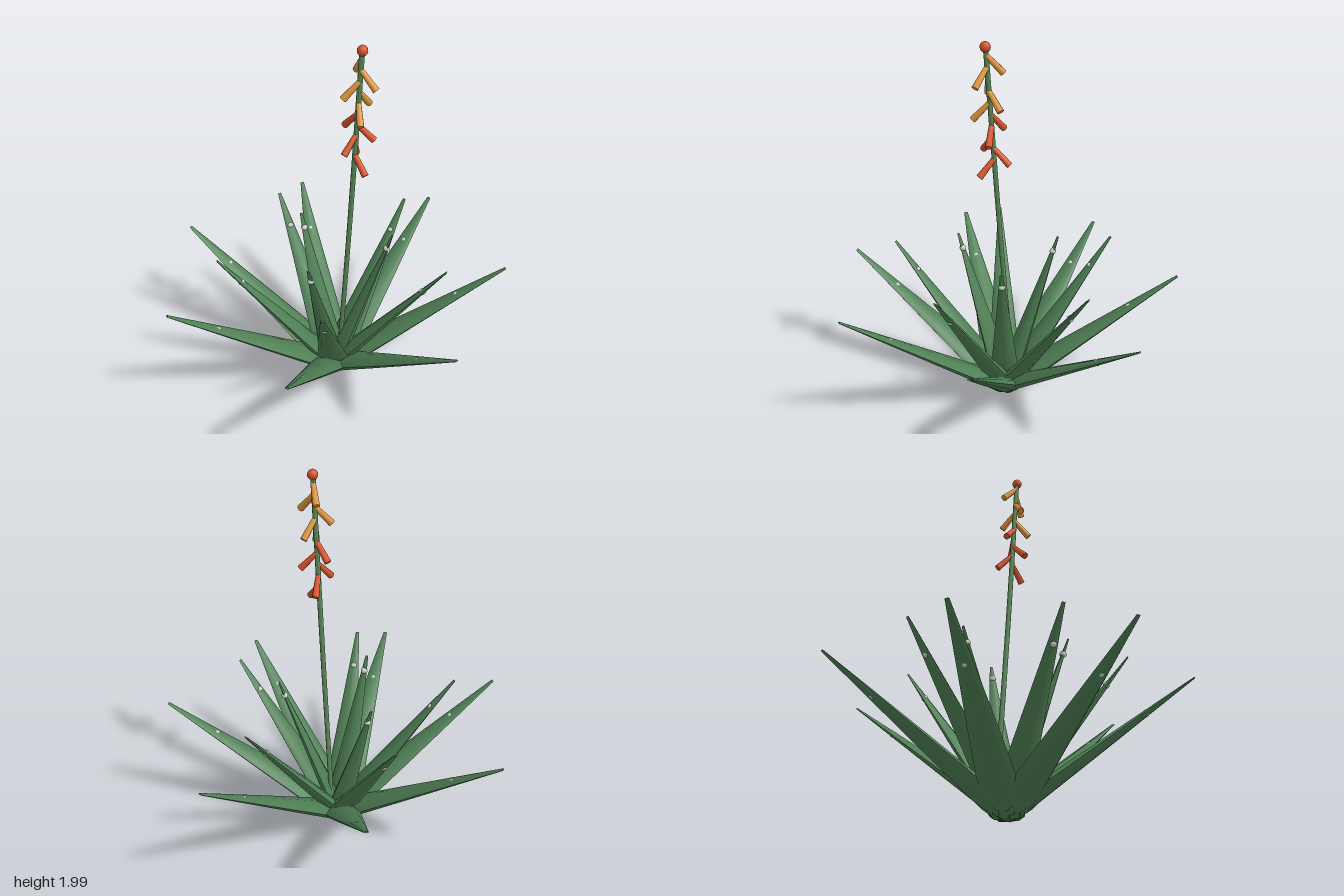
import * as THREE from 'three';
import { toCreasedNormals } from 'three/addons/utils/BufferGeometryUtils.js';

const UP = new THREE.Vector3(0, 1, 0);

function material(name, color) {
  const m = new THREE.MeshStandardMaterial({ color });
  m.name = name;
  return m;
}

// Flattened blade growing along +y: narrow root, widest low down, long taper to a blunt tip
function bladeGeometry(length, width) {
  const rings = [[0, 0.8], [0.1, 1], [0.45 * length, 0.66], [length, 0.1]];
  const geo = new THREE.CylinderGeometry(1, 1, 3, 8, 3);
  const p = geo.attributes.position;
  for (let i = 0; i < p.count; i++) {
    const [y, w] = rings[Math.round(p.getY(i) + 1.5)];
    p.setXYZ(i, p.getX(i) * w * width, y, p.getZ(i) * w * 0.04);
  }
  return toCreasedNormals(geo, 0.8);
}

export function createModel() {
  const model = new THREE.Group();
  model.name = 'succulentPlant';
  const leafGreen = material('leafGreen', 0x4f8055);
  const stalkGreen = material('stalkGreen', 0x5a8a58);
  const redOrange = material('redOrange', 0xd9552b);
  const amber = material('amber', 0xe0963a);
  const paleSpot = material('paleSpot', 0xc8d5c4);

  const add = (parent, name, geo, mat) => {
    const mesh = new THREE.Mesh(geo, mat);
    mesh.name = name;
    parent.add(mesh);
    return mesh;
  };

  // Three rings of leaves: count, first angle, tip reach, tip height, half width
  const rosette = new THREE.Group();
  rosette.name = 'rosette';
  rosette.position.set(0, 0.04, -0.05);
  model.add(rosette);
  const rings = [
    ['outerLeaf', 7, 0, 0.92, 0.67, 0.105],
    ['middleLeaf', 5, 0.5, 0.615, 0.82, 0.092],
    ['innerLeaf', 3, 1, 0.31, 0.86, 0.08],
  ];
  const spotGeo = new THREE.SphereGeometry(0.018, 10, 8);
  for (const [name, count, start, reach, height, width] of rings) {
    const geo = bladeGeometry(Math.hypot(reach, height), width);
    for (let i = 0; i < count; i++) {
      const leaf = new THREE.Group();
      leaf.name = name;
      leaf.rotation.order = 'YXZ';
      leaf.rotation.y = start + (i / count) * Math.PI * 2;
      leaf.rotation.x = Math.atan2(reach, height);
      rosette.add(leaf);
      add(leaf, 'blade', geo, leafGreen);
      add(leaf, 'spot', spotGeo, paleSpot).position.y = 0.83;
    }
  }

  // Leaning flower stalk
  const curve = new THREE.CatmullRomCurve3([
    new THREE.Vector3(0.055, 0.04, -0.075),
    new THREE.Vector3(0.055, 1, 0.012),
    new THREE.Vector3(0.055, 1.97, 0.09),
  ]);
  add(model, 'stalk', new THREE.TubeGeometry(curve, 16, 0.013, 8), stalkGreen);
  add(model, 'topBud', new THREE.SphereGeometry(0.026, 14, 10), redOrange)
    .position.set(0.055, 1.974, 0.092);

  // Drooping tube flowers, spiralling up the stalk
  const flowerGeo = new THREE.CylinderGeometry(0.018, 0.013, 0.115, 8);
  for (let i = 0; i < 10; i++) {
    const angle = THREE.MathUtils.degToRad(137.5 * i);
    const y = 1.345 + 0.0565 * i;
    const z = 0.092 - (1.97 - y - 0.08) * 0.083;
    const out = new THREE.Vector3(Math.sin(angle), 0, Math.cos(angle));
    const root = new THREE.Vector3(0.055, y + 0.08, z).addScaledVector(out, 0.003);
    const tip = new THREE.Vector3(0.055, y, z).addScaledVector(out, 0.08);
    const flower = add(model, 'flower', flowerGeo, i < 5 ? redOrange : amber);
    flower.position.copy(root).lerp(tip, 0.5);
    flower.quaternion.setFromUnitVectors(UP, tip.sub(root).normalize());
  }
  return model;
}
